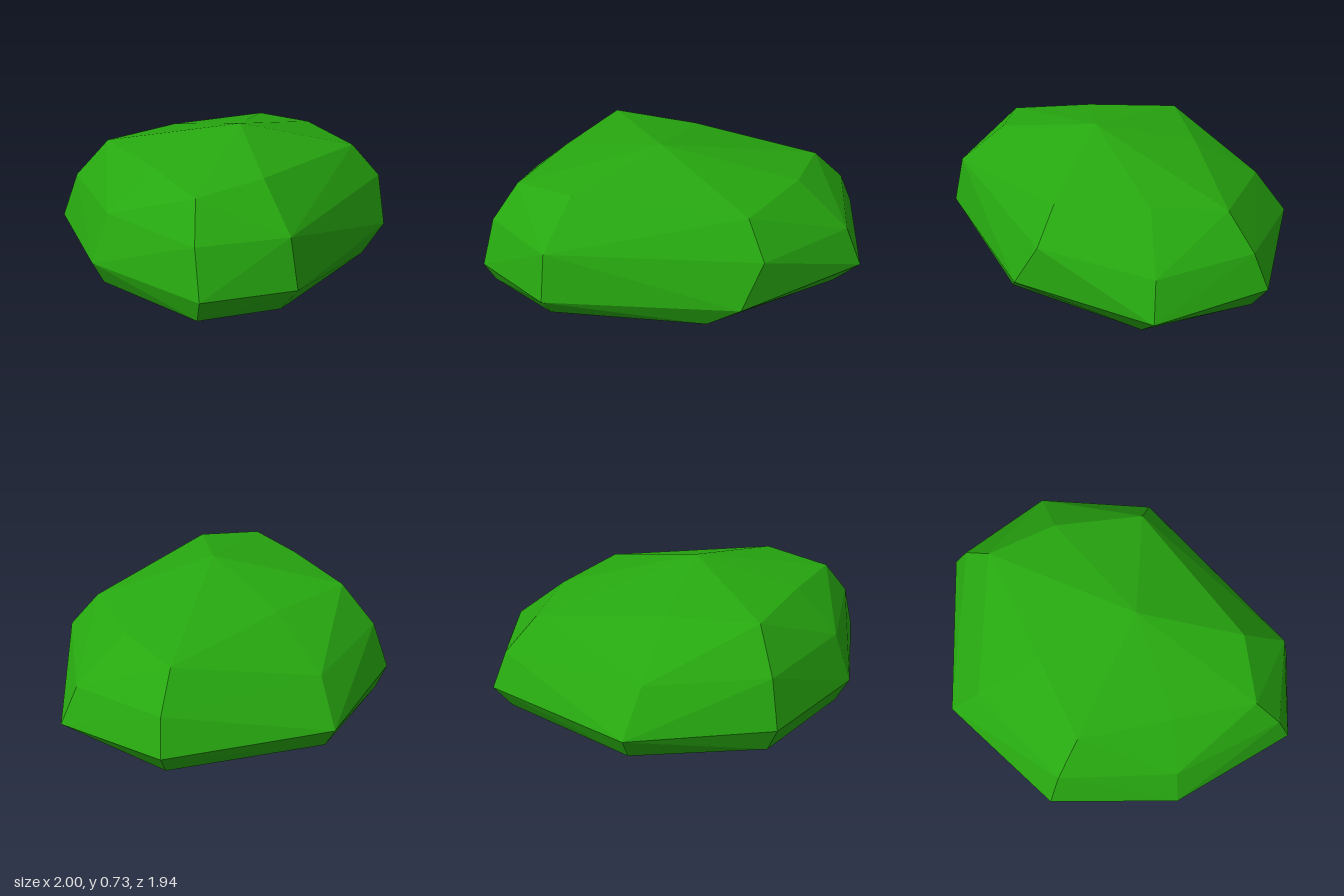
import * as THREE from 'three';
import { ConvexGeometry } from 'three/addons/geometries/ConvexGeometry.js';

// Faceted low boulder: eight-sided rings from base to crown, [x, y, z], counted from the front.
const base = [
  [-0.36, 0.01, 0.865], [0.42, 0.005, 0.58], [0.865, 0.005, -0.1], [0.66, 0.02, -0.68],
  [-0.155, 0.03, -0.9], [-0.765, 0.02, -0.54], [-0.93, 0.015, 0.1], [-0.785, 0.025, 0.76],
];
const rim = [
  [-0.34, 0.145, 0.97], [0.6, 0.13, 0.555], [0.995, 0.115, -0.155], [0.725, 0.146, -0.75],
  [-0.16, 0.15, -0.97], [-0.82, 0.15, -0.56], [-1, 0.145, 0.115], [-0.81, 0.15, 0.82],
];
const shoulder = [
  [-0.345, 0.405, 0.915], [0.665, 0.368, 0.425], [0.9, 0.315, -0.165], [0.68, 0.335, -0.675],
  [-0.185, 0.38, -0.795], [-0.76, 0.4, -0.49], [-0.905, 0.4, 0.125], [-0.78, 0.4, 0.74],
];
const crown = [
  [-0.32, 0.625, 0.66], [0.535, 0.55, 0.34], [0.61, 0.55, -0.15], [0.555, 0.515, -0.55],
  [-0.15, 0.6, -0.43], [-0.635, 0.615, -0.345], [-0.665, 0.615, 0.165], [-0.69, 0.585, 0.615],
];
const peak = [-0.083, 0.73, 0.125];
const underside = [-0.15, 0, 0.02];

export function createModel() {
  const group = new THREE.Group();
  group.name = 'boulder';

  const mossGreen = new THREE.MeshStandardMaterial({ color: 0x27a810 });
  mossGreen.name = 'moss green';

  // The stone is the convex shell around all rings, with flat facets
  const points = [underside, ...base, ...rim, ...shoulder, ...crown, peak]
    .map((p) => new THREE.Vector3(...p));
  const stone = new THREE.Mesh(new ConvexGeometry(points), mossGreen);
  stone.name = 'stone';
  group.add(stone);

  return group;
}
